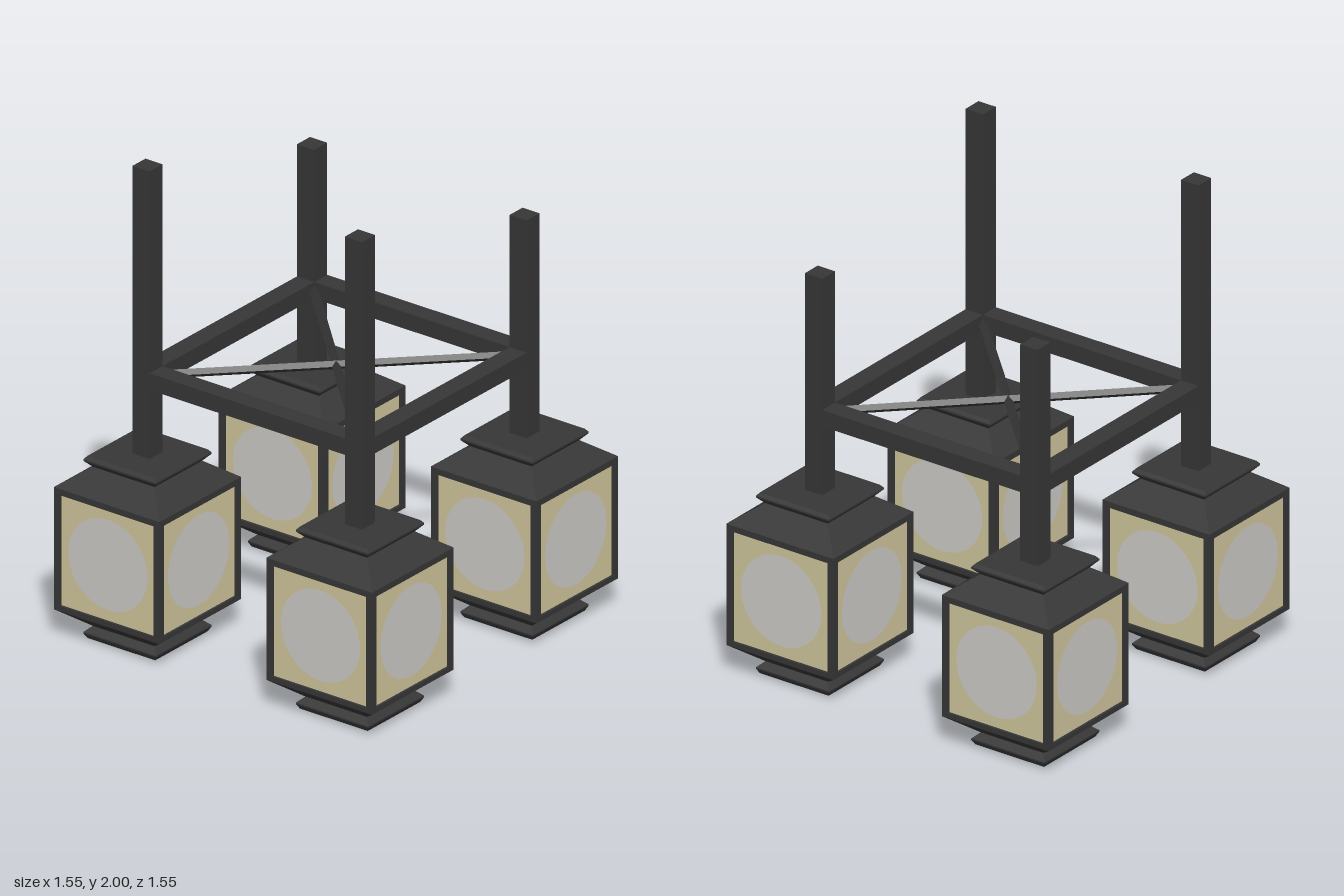
import * as THREE from 'three';

const iron = new THREE.MeshStandardMaterial({ color: 0x363636 });
iron.name = 'dark iron';
const glass = new THREE.MeshStandardMaterial({ color: 0xcfc59b });
glass.name = 'warm glass';
const glow = new THREE.MeshStandardMaterial({ color: 0xcccac6 });
glow.name = 'pale glow';

const C = 0.517;   // distance of poles and lanterns from the centre lines
const W = 0.083;   // beam width
const H = 0.257;   // lantern half width

function add(parent, name, geometry, material, x = 0, y = 0, z = 0) {
  const mesh = new THREE.Mesh(geometry, material);
  mesh.name = name;
  mesh.position.set(x, y, z);
  parent.add(mesh);
  return mesh;
}

const box = (w, h, d) => new THREE.BoxGeometry(w, h, d);

// Square stepped solid from [half width, height] pairs, bottom to top
function squareLoft(profile) {
  const points = profile.map(([r, y]) => new THREE.Vector2(r * Math.SQRT2, y));
  const geometry = new THREE.LatheGeometry(points, 4, Math.PI / 4).toNonIndexed();
  geometry.computeVertexNormals();
  return geometry;
}

function createLantern() {
  const lantern = new THREE.Group();
  lantern.name = 'lantern';

  // Flared foot and hipped roof
  add(lantern, 'lanternFoot', squareLoft([
    [0, 0], [0.165, 0], [0.176, 0.02], [0.176, 0.026], [0.15, 0.05], [H, 0.13], [H, 0.152], [0, 0.152],
  ]), iron);
  add(lantern, 'lanternRoof', squareLoft([
    [0, 0.624], [H, 0.624], [H, 0.65], [0.15, 0.728], [0.176, 0.755], [0.176, 0.762], [0.165, 0.775], [0, 0.775],
  ]), iron);

  // Glass body with corner posts
  add(lantern, 'glassBody', box(0.494, 0.472, 0.494), glass, 0, 0.388, 0);
  for (const sx of [-1, 1]) for (const sz of [-1, 1]) {
    add(lantern, 'cornerPost', box(0.029, 0.472, 0.029), iron, sx * (H - 0.0145), 0.388, sz * (H - 0.0145));
  }

  // Round glow on each pane
  for (let i = 0; i < 4; i++) {
    const a = i * Math.PI / 2;
    const disc = add(lantern, 'glowDisc', new THREE.CircleGeometry(0.193, 40), glow,
      Math.sin(a) * 0.249, 0.39, Math.cos(a) * 0.249);
    disc.rotation.y = a;
  }
  return lantern;
}

export function createModel() {
  const model = new THREE.Group();
  model.name = 'lanternCluster';

  // Four lanterns on poles, the rear poles shorter
  for (const sx of [-1, 1]) for (const sz of [-1, 1]) {
    const lantern = createLantern();
    lantern.position.set(sx * C, 0, sz * C);
    model.add(lantern);
    const top = sz > 0 ? 2 : 1.703;
    add(model, 'pole', box(W, top - 0.77, W), iron, sx * C, (top + 0.77) / 2, sz * C);
  }

  // Square of rails between the poles
  const span = 2 * C - W;
  for (const s of [-1, 1]) {
    add(model, 'crossRail', box(span, 0.07, W), iron, 0, 1.105, s * C);
    add(model, 'sideRail', box(W, 0.07, span), iron, s * C, 1.105, 0);
  }

  // Thin diagonal braces
  for (const s of [-1, 1]) {
    const geometry = new THREE.CylinderGeometry(0.018, 0.018, span * Math.SQRT2 + 0.03, 4).toNonIndexed();
    geometry.computeVertexNormals();
    geometry.rotateZ(Math.PI / 2);
    add(model, 'diagonalBrace', geometry, iron, 0, 1.105, 0).rotation.y = s * Math.PI / 4;
  }
  return model;
}
